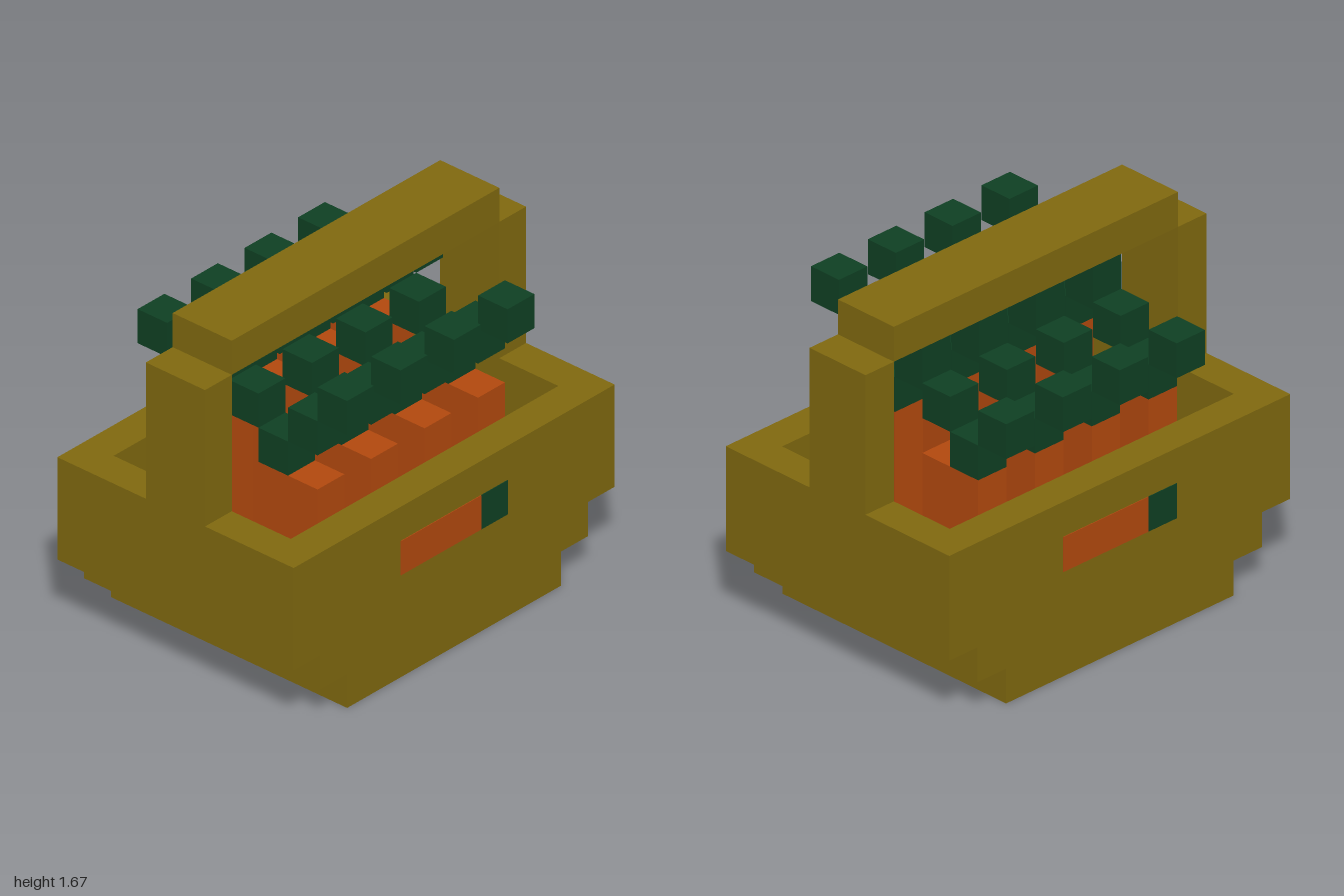
import * as THREE from 'three';

const U = 1 / 6; // one block

const wicker = new THREE.MeshStandardMaterial({ color: 0x80690f });
wicker.name = 'wickerBrown';
const orange = new THREE.MeshStandardMaterial({ color: 0xb3490e });
orange.name = 'carrotOrange';
const green = new THREE.MeshStandardMaterial({ color: 0x0f4023 });
green.name = 'leafGreen';

// Box spanning two corners, given in blocks
function block(name, material, [x0, y0, z0], [x1, y1, z1]) {
  const geometry = new THREE.BoxGeometry((x1 - x0) * U, (y1 - y0) * U, (z1 - z0) * U);
  const mesh = new THREE.Mesh(geometry, material);
  mesh.position.set((x0 + x1) / 2 * U, (y0 + y1) / 2 * U, (z0 + z1) / 2 * U);
  mesh.name = name;
  return mesh;
}

// Floor and two stepped layers of one-block walls
function createBasket() {
  const basket = new THREE.Group();
  basket.name = 'basket';
  basket.add(block('floor', wicker, [-4, 0, -4], [4, 1, 4]));
  for (const [y0, y1, z] of [[1, 2, 5], [2, 5, 6]]) {
    basket.add(
      block('leftWall', wicker, [3, y0, -z], [4, y1, z]),
      block('rightWall', wicker, [-4, y0, -z], [-3, y1, z]),
      block('frontWall', wicker, [-3, y0, z - 1], [3, y1, z]),
      block('backWall', wicker, [-3, y0, -z], [3, y1, 1 - z])
    );
  }
  return basket;
}

// Two posts and a raised top bar
function createHandle() {
  const handle = new THREE.Group();
  handle.name = 'handle';
  handle.add(
    block('frontPost', wicker, [-1, 5, 5], [1, 9, 6]),
    block('backPost', wicker, [-1, 5, -6], [1, 9, -5]),
    block('topBar', wicker, [-1, 9, -5], [1, 10, 5])
  );
  return handle;
}

// Upright carrot with a lopsided V of leaf cubes
function createCarrot(x, z) {
  const carrot = new THREE.Group();
  carrot.name = 'carrot';
  carrot.add(block('root', orange, [x, 1, z], [x + 2, 6, z + 1]));
  return carrot;
}

function createLeaves(x, z) {
  const leaves = new THREE.Group();
  leaves.name = 'leaves';
  for (const [dx, dy] of [[-1, 1], [0, 0], [1, 1], [2, 2]]) {
    leaves.add(block('leaf', green, [x + dx, 6 + dy, z], [x + dx + 1, 7 + dy, z + 1]));
  }
  return leaves;
}

// Carrot emblem as thin plates on the +x wall
function createEmblem() {
  const emblem = new THREE.Group();
  emblem.name = 'emblem';
  emblem.add(
    block('emblemRoot', orange, [3.99, 3, -1], [4.02, 4, 2]),
    block('emblemLeaf', green, [3.99, 3, -2], [4.02, 4, -1])
  );
  return emblem;
}

export function createModel() {
  const model = new THREE.Group();
  model.name = 'carrotBasket';
  model.add(createBasket(), createHandle());

  // Two staggered rows of carrots
  for (let i = 0; i < 4; i++) {
    const zRight = -4 + 2 * i;
    const zLeft = -3 + 2 * i;
    model.add(createCarrot(-3, zRight), createLeaves(-3, zRight));
    model.add(createCarrot(1, zLeft), createLeaves(1, zLeft));
  }

  // The emblem repeats on the opposite wall, turned half round
  const leftEmblem = createEmblem();
  const rightEmblem = createEmblem();
  rightEmblem.rotation.y = Math.PI;
  model.add(leftEmblem, rightEmblem);
  return model;
}
